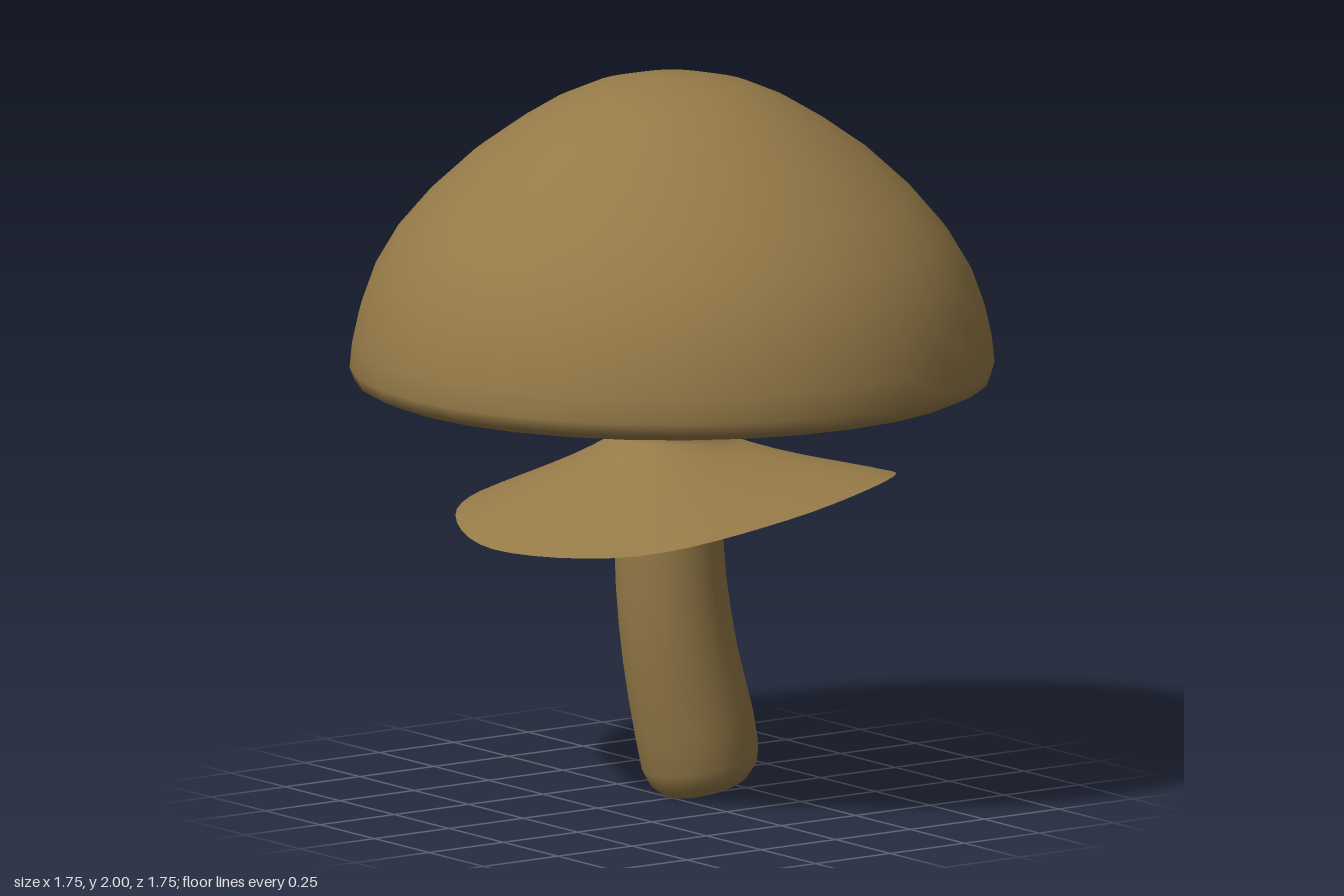
import * as THREE from 'three';

// Closed-around surface from rows listed bottom to top; point(row, angle) gives a Vector3.
function loft(rows, cols, point) {
  const positions = [], index = [];
  for (let i = 0; i < rows; i++) {
    for (let j = 0; j < cols; j++) positions.push(...point(i, (j / cols) * Math.PI * 2).toArray());
  }
  for (let i = 0; i < rows - 1; i++) {
    for (let j = 0; j < cols; j++) {
      const k = (j + 1) % cols;
      const a = i * cols + j, b = i * cols + k, c = a + cols, d = b + cols;
      index.push(a, c, b, b, c, d);
    }
  }
  const geometry = new THREE.BufferGeometry();
  geometry.setAttribute('position', new THREE.Float32BufferAttribute(positions, 3));
  geometry.setIndex(index);
  geometry.computeVertexNormals();
  return geometry;
}

// Domed cap with a softly rolled rim and a nearly flat underside
function capGeometry() {
  const profile = [
    [0, 1.133], [0.4, 1.134], [0.72, 1.138], [0.82, 1.146], [0.862, 1.165], [0.875, 1.2],
    [0.868, 1.27], [0.848, 1.36], [0.812, 1.46], [0.75, 1.565], [0.66, 1.67], [0.54, 1.78],
    [0.42, 1.865], [0.32, 1.925], [0.22, 1.968], [0.11, 1.993], [0, 2],
  ];
  return new THREE.LatheGeometry(profile.map(([r, y]) => new THREE.Vector2(r, y)), 32);
}

// Bent stem: round sections [x, y, radius], square to the leaning axis
function stemGeometry() {
  const sections = [
    [0.112, 0.026, 0], [0.112, 0.027, 0.085], [0.109, 0.04, 0.125], [0.104, 0.068, 0.15],
    [0.094, 0.11, 0.162], [0.075, 0.2, 0.164], [0.05, 0.3, 0.161], [0.027, 0.4, 0.157],
    [0.01, 0.5, 0.154], [-0.003, 0.6, 0.151], [-0.012, 0.73, 0.148], [-0.015, 0.86, 0.145],
    [-0.011, 1, 0.14], [-0.005, 1.15, 0.134],
  ];
  return loft(sections.length, 24, (i, angle) => {
    const [x, y, r] = sections[i];
    const lean = 0.28 * Math.max(0, 1 - y / 0.85);
    const across = Math.cos(angle) * r;
    return new THREE.Vector3(x + across * Math.cos(lean), y + across * Math.sin(lean), Math.sin(angle) * r);
  });
}

// Thin skirt hanging from a flared collar, with an uneven wavy hem
function skirtGeometry() {
  // Hem radius and height every 45 degrees, from +x towards +z
  const hem = [
    [0.585, 0.83], [0.61, 0.91], [0.54, 0.855], [0.61, 0.785],
    [0.6, 0.757], [0.59, 0.785], [0.64, 0.785], [0.565, 0.727],
  ];
  const hemCurve = new THREE.CatmullRomCurve3(
    hem.map(([r, y], i) => {
      const a = (i * Math.PI) / 4;
      return new THREE.Vector3(Math.cos(a) * r, y, Math.sin(a) * r);
    }), true);
  const blends = [1, 0.85, 0.68, 0.5, 0.32, 0.16, 0.06];
  const collar = [[0.158, 1.008], [0.15, 1.025], [0.153, 1.042], [0.168, 1.054], [0.172, 1.06], [0.14, 1.06]];
  return loft(blends.length + collar.length, 48, (i, angle) => {
    const ring = (r, y) => new THREE.Vector3(Math.cos(angle) * r - 0.008, y, Math.sin(angle) * r);
    if (i >= blends.length) return ring(...collar[i - blends.length]);
    const t = blends[i];
    const p = ring(0.16, 1.002).lerp(hemCurve.getPoint(angle / (Math.PI * 2)), t);
    p.y -= 0.06 * t * (1 - t) * (1 - t);
    return p;
  });
}

export function createModel() {
  const brown = new THREE.MeshStandardMaterial({ color: 0x957a48, side: THREE.DoubleSide });
  brown.name = 'mushroom brown';
  const model = new THREE.Group();
  model.name = 'mushroom';
  const parts = { cap: capGeometry(), stem: stemGeometry(), skirt: skirtGeometry() };
  for (const [name, geometry] of Object.entries(parts)) {
    const mesh = new THREE.Mesh(geometry, brown);
    mesh.name = name;
    model.add(mesh);
  }
  return model;
}
